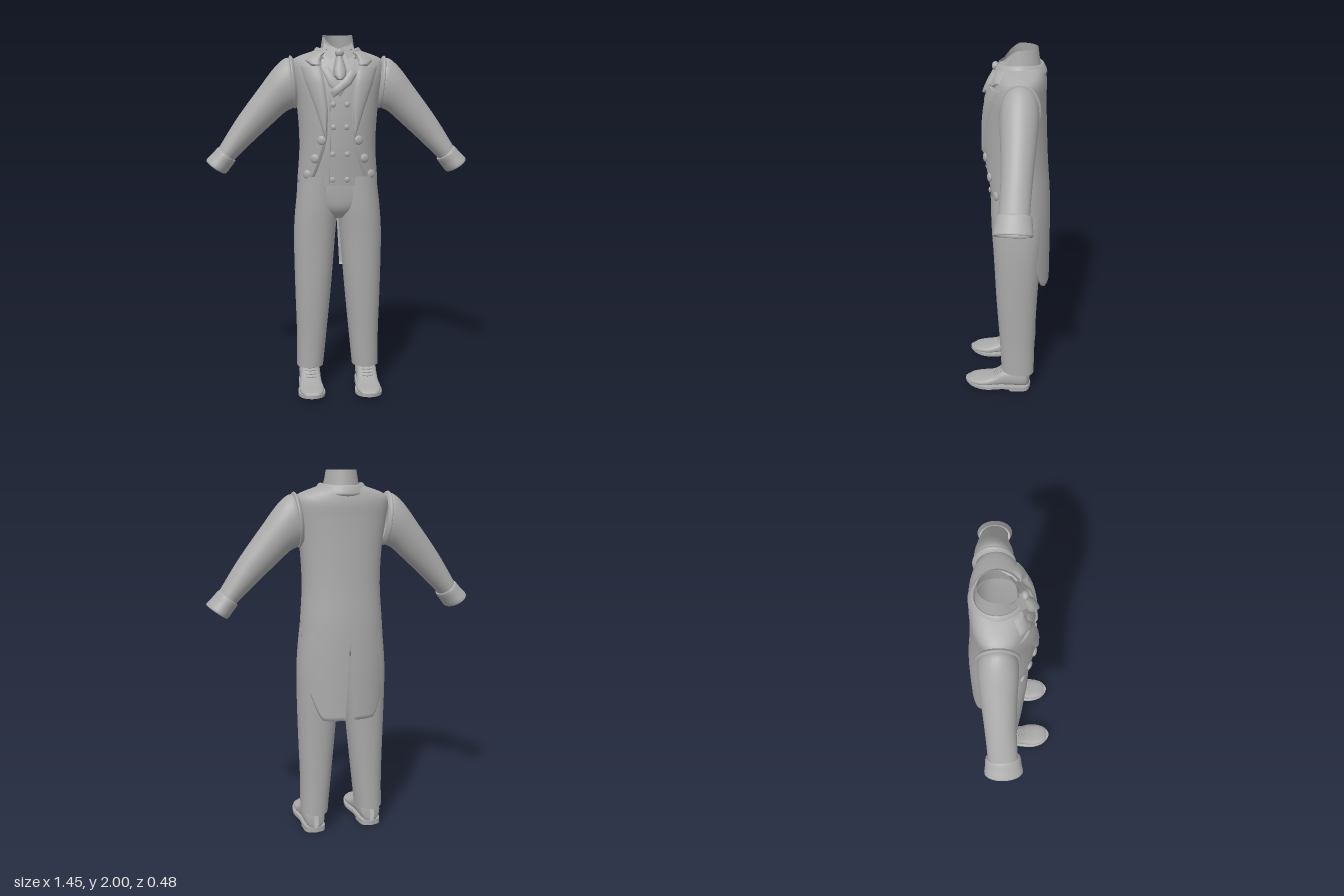
import * as THREE from 'three';

const cloth = new THREE.MeshStandardMaterial({ color: 0xaaaaaa, side: THREE.DoubleSide });
cloth.name = 'grey cloth';

const lerp = THREE.MathUtils.lerp;

// Smooth interpolation in a table of rows [t, value, value...]
function sample(table, t) {
  const last = table.length - 1;
  let i = 0;
  while (i < last - 1 && t > table[i + 1][0]) i++;
  const slope = (k, c) => {
    const a = table[Math.max(k - 1, 0)], b = table[Math.min(k + 1, last)];
    return (b[c] - a[c]) / (b[0] - a[0]);
  };
  const p = table[i], q = table[i + 1], h = q[0] - p[0];
  const s = Math.min(Math.max((t - p[0]) / h, 0), 1), s2 = s * s, s3 = s2 * s;
  return p.slice(1).map((v, k) => v * (2 * s3 - 3 * s2 + 1) + q[k + 1] * (3 * s2 - 2 * s3)
    + h * (slope(i, k + 1) * (s3 - 2 * s2 + s) + slope(i + 1, k + 1) * (s3 - s2)));
}

// Smooth sheet from a rule fn(u, v) -> [x, y, z]; closed joins the u ends
function sheet(name, nu, nv, fn, closed = false) {
  const pos = [], idx = [], cols = closed ? nu : nu + 1;
  for (let j = 0; j <= nv; j++) for (let i = 0; i < cols; i++) pos.push(...fn(i / nu, j / nv));
  for (let j = 0; j < nv; j++) for (let i = 0; i < nu; i++) {
    const a = j * cols + i, b = j * cols + (i + 1) % cols;
    idx.push(a, a + cols, b, b, a + cols, b + cols);
  }
  const g = new THREE.BufferGeometry();
  g.setAttribute('position', new THREE.Float32BufferAttribute(pos, 3));
  g.setIndex(idx);
  g.computeVertexNormals();
  return part(name, g);
}

function part(name, geometry) {
  const m = new THREE.Mesh(geometry, cloth);
  m.name = name;
  return m;
}

// Torso: y, half width, front z, back z
const TORSO = [
  [0.68, 0.235, 0.09, -0.237], [1.0, 0.237, 0.09, -0.235], [1.2, 0.225, 0.105, -0.23],
  [1.4, 0.212, 0.125, -0.215], [1.6, 0.222, 0.13, -0.205], [1.75, 0.245, 0.115, -0.2],
  [1.83, 0.255, 0.085, -0.2], [1.87, 0.243, 0.062, -0.192], [1.895, 0.19, 0.05, -0.185], [1.92, 0.11, 0.038, -0.172],
];
const N = 2.2, ZC = -0.07;
const pw = c => Math.sign(c) * Math.abs(c) ** (2 / N);
function torsoPoint(y, a, off = 0) {
  const [hx, zf, zb] = sample(TORSO, y);
  const s = Math.sin(a), d = (s > 0 ? zf - ZC : ZC - zb) + off;
  return [(hx + off) * pw(Math.cos(a)), y, ZC + d * pw(s)];
}
function frontZ(x, y, off) {
  const [hx, zf] = sample(TORSO, y);
  return ZC + (zf - ZC) * Math.max(1 - Math.abs(x / hx) ** N, 0) ** (1 / N) + off;
}

// Raised patch lying on the chest; rows are [xa, ya, xb, yb]
function patch(name, rows, base, height) {
  const table = rows.map((r, i) => [i, ...r]);
  return sheet(name, 10, (rows.length - 1) * 5, (u, v) => {
    const t = v * (rows.length - 1), i = Math.min(Math.floor(t), rows.length - 2), f = t - i;
    const r = table[i].slice(1).map((p, k) => lerp(p, table[i + 1][k + 1], f));
    const x = lerp(r[0], r[2], u), y = lerp(r[1], r[3], u);
    const lift = v === 0 || v === 1 ? 0 : Math.max(Math.sin(Math.PI * u), 0) ** 0.35;
    return [x, y, frontZ(x, y, base + height * lift)];
  });
}

// Coat opening half width by height, and tail hem height by angle behind the side
const OPENING = [[1.19, 0.165], [1.3, 0.118], [1.45, 0.074], [1.6, 0.068], [1.75, 0.085], [1.85, 0.1], [1.92, 0.07]];
const HEM = [[0, 1.2], [0.1, 1.15], [0.3, 0.99], [0.5, 0.87], [0.78, 0.75], [0.97, 0.69], [1.1, 0.68], [1.58, 0.68]];

function coatHalf() {
  return sheet('coatHalf', 48, 60, (u, v) => {
    const f = u * 2;
    const bottom = f <= 1 ? 1.2 : sample(HEM, (f - 1) * Math.PI / 2)[0];
    const y = lerp(bottom, 1.92, Math.max(v * 61 - 1, 0) / 60);
    let a;
    if (f <= 1) {
      const edge = Math.acos((sample(OPENING, y)[0] / sample(TORSO, y)[0]) ** (N / 2));
      a = lerp(edge, 0, f);
    } else {
      const vent = Math.max(1.1 - y, 0) * 0.2;
      a = -(f - 1) * (Math.PI / 2 - vent);
    }
    return torsoPoint(y, a, u === 0 || v === 0 ? -0.016 : 0);
  });
}

// Tube through flattened rings; rows are [t, upper x, upper y, lower x, lower y, front z, back z]
function sleeveTube(name, rows, steps) {
  const end = rows[rows.length - 1][0];
  return sheet(name, 32, steps, (u, v) => {
    const [ux, uy, lx, ly, zf, zb] = sample(rows, v * end), a = u * 2 * Math.PI;
    const c = Math.cos(a) / 2;
    return [(ux + lx) / 2 + (ux - lx) * c, (uy + ly) / 2 + (uy - ly) * c, (zf + zb) / 2 + (zf - zb) / 2 * Math.sin(a)];
  }, true);
}

function button(name, x, y, r, off) {
  const g = new THREE.SphereGeometry(r, 16, 10);
  g.scale(1, 1, 0.45);
  const m = part(name, g);
  m.position.set(x, y, frontZ(x, y, off));
  m.rotation.y = x * 3;
  return m;
}

function shoe() {
  const g = new THREE.Group();
  g.name = 'shoe';
  const lift = z => Math.max(z - 0.08, 0) ** 2 * 0.7;
  // upper: z, half width, top y
  const rows = [[-0.14, 0.012, 0.11], [-0.132, 0.04, 0.13], [-0.11, 0.056, 0.14], [-0.03, 0.06, 0.142], [0.02, 0.058, 0.125],
    [0.07, 0.061, 0.09], [0.13, 0.068, 0.07], [0.18, 0.06, 0.062], [0.215, 0.04, 0.052], [0.232, 0.008, 0.035]];
  g.add(sheet('shoeUpper', 28, 44, (u, v) => {
    const z = lerp(-0.14, 0.232, v), [w, top] = sample(rows, z), a = u * 2 * Math.PI;
    const low = 0.022 + lift(z), q = c => Math.sign(c) * Math.abs(c) ** 0.8;
    return [w * q(Math.cos(a)), (top + low) / 2 + (top - low) / 2 * q(Math.sin(a)), z];
  }, true));
  const slab = (name, half, top, depth) => {
    const pts = [...half, ...half.slice(1, -1).reverse().map(([x, z]) => [-x, z])].map(p => new THREE.Vector2(...p));
    const outline = new THREE.SplineCurve([...pts, pts[0]]).getPoints(56).slice(0, -1);
    const geo = new THREE.ExtrudeGeometry(new THREE.Shape(outline), { depth, bevelEnabled: false });
    geo.rotateX(Math.PI / 2).translate(0, top, 0);
    const p = geo.attributes.position;
    for (let i = 0; i < p.count; i++) p.setY(i, p.getY(i) + lift(p.getZ(i)));
    geo.computeVertexNormals();
    g.add(part(name, geo));
  };
  slab('sole', [[0, -0.145], [0.05, -0.125], [0.062, -0.06], [0.062, 0.02], [0.076, 0.12], [0.056, 0.2], [0, 0.24]], 0.03, 0.018);
  slab('heel', [[0, -0.143], [0.05, -0.124], [0.062, -0.06], [0.055, -0.022], [0, -0.018]], 0.03, 0.03);
  // laces over a raised tongue
  for (let i = 0; i < 4; i++) for (const s of [-1, 1]) {
    const lace = part('lace', new THREE.CapsuleGeometry(0.005, 0.03, 3, 8));
    const z = 0.015 + i * 0.018;
    lace.position.set(s * 0.012, sample(rows, z)[1] + 0.001, z);
    lace.rotation.set(0, s * 0.25, Math.PI / 2);
    g.add(lace);
  }
  g.position.x = 0.163;
  g.rotation.y = -0.02;
  return g;
}

// Everything made once for the +x side and mirrored
function half() {
  const g = new THREE.Group();
  g.add(coatHalf());

  // sleeve, armhole rim and turned cuff
  g.add(sleeveTube('sleeve', [
    [0, 0.245, 1.87, 0.225, 1.62, 0.015, -0.165], [0.5, 0.285, 1.875, 0.245, 1.605, 0.022, -0.17],
    [1, 0.34, 1.83, 0.285, 1.585, 0.022, -0.17], [2, 0.43, 1.715, 0.365, 1.515, 0.012, -0.162],
    [3, 0.55, 1.555, 0.47, 1.42, 0.004, -0.15], [4, 0.65, 1.4, 0.572, 1.322, 0.006, -0.142], [4.4, 0.68, 1.35, 0.6, 1.29, 0.005, -0.14]], 36));
  g.add(sleeveTube('armholeRim', [
    [0, 0.24, 1.87, 0.215, 1.625, 0.015, -0.165], [1, 0.252, 1.887, 0.228, 1.605, 0.03, -0.178],
    [2, 0.264, 1.887, 0.238, 1.603, 0.03, -0.178], [3, 0.268, 1.865, 0.238, 1.62, 0.01, -0.16]], 9));
  g.add(sleeveTube('cuff', [
    [0, 0.64, 1.38, 0.58, 1.325, 0.0, -0.135], [1, 0.658, 1.392, 0.568, 1.314, 0.018, -0.152],
    [2, 0.69, 1.36, 0.593, 1.28, 0.024, -0.157], [3, 0.726, 1.323, 0.62, 1.247, 0.03, -0.162],
    [3.5, 0.716, 1.318, 0.628, 1.255, 0.018, -0.15], [4.5, 0.67, 1.36, 0.6, 1.305, 0.005, -0.138]], 27));

  // peaked lapel and collar leaf
  g.add(patch('lapel', [[0.074, 1.44, 0.077, 1.44], [0.066, 1.6, 0.13, 1.6], [0.082, 1.74, 0.183, 1.74], [0.09, 1.8, 0.213, 1.835],
    [0.1, 1.845, 0.15, 1.825]], -0.004, 0.018));
  g.add(patch('collarLeaf', [[0.1, 1.83, 0.15, 1.832], [0.1, 1.855, 0.185, 1.862], [0.09, 1.885, 0.15, 1.893], [0.07, 1.905, 0.12, 1.908]], -0.002, 0.02));

  // buttons
  for (const [x, y] of [[0.1, 1.44], [0.135, 1.34], [0.175, 1.25]]) g.add(button('coatButton', x, y, 0.025, 0.003));
  for (const [x, y] of [[0.038, 1.63], [0.036, 1.51], [0.04, 1.365], [0.04, 1.225]]) g.add(button('vestButton', x, y, 0.015, -0.011));

  // folded shirt collar wing
  g.add(sheet('collarWing', 6, 6, (u, v) => [
    lerp(lerp(0.012, 0.075, u), lerp(0.045, 0.09, u), v),
    lerp(lerp(1.925, 1.955, u), lerp(1.865, 1.9, u), v),
    lerp(lerp(0.04, -0.015, u), lerp(0.075, 0.02, u), v)]));

  // trouser leg: y, inner x, outer x, front z, back z
  const leg = [[0.12, 0.085, 0.236, 0.026, -0.163], [0.3, 0.067, 0.235, 0.035, -0.165], [0.6, 0.038, 0.243, 0.055, -0.175],
    [0.9, 0.014, 0.247, 0.07, -0.192], [1.05, 0.002, 0.238, 0.08, -0.2], [1.24, 0, 0.215, 0.085, -0.2]];
  g.add(sheet('trouserLeg', 36, 30, (u, v) => {
    const y = lerp(0.12, 1.24, v), [xi, xo, zf, zb] = sample(leg, y), a = u * 2 * Math.PI;
    const drop = y < 0.13 ? -0.01 * Math.sin(a) : 0;
    return [(xi + xo) / 2 + (xo - xi) / 2 * pw(Math.cos(a)), y - drop, (zf + zb) / 2 + (zf - zb) / 2 * pw(Math.sin(a))];
  }, true));
  g.add(shoe());
  return g;
}

export function createModel() {
  const model = new THREE.Group();
  model.name = 'tailcoatSuit';
  const left = half(), right = half();
  left.name = 'leftHalf';
  right.name = 'rightHalf';
  right.scale.x = -1;
  model.add(left, right);

  // waistcoat and shirt body under the coat
  model.add(sheet('waistcoat', 56, 30, (u, v) => torsoPoint(lerp(1.19, 1.915, v), u * 2 * Math.PI, -0.014), true));
  model.add(patch('underLapel', [[-0.1, 1.82, -0.06, 1.83], [-0.06, 1.73, -0.015, 1.76], [0, 1.67, 0.03, 1.71]], -0.014, 0.009));
  model.add(patch('overLapel', [[0.1, 1.8, 0.06, 1.83], [0.06, 1.735, 0.015, 1.765], [-0.035, 1.665, -0.06, 1.7]], -0.013, 0.016));
  model.add(patch('vestEdge', [[-0.055, 1.68, -0.049, 1.68], [-0.058, 1.45, -0.052, 1.45], [-0.06, 1.2, -0.054, 1.2]], -0.014, 0.004));

  // trouser seat joining the legs
  const seat = [[1.0, 0.04, 0.02, -0.14], [1.05, 0.15, 0.065, -0.18], [1.12, 0.218, 0.08, -0.198], [1.25, 0.21, 0.085, -0.2]];
  model.add(sheet('trouserSeat', 40, 14, (u, v) => {
    const y = lerp(1.0, 1.25, v), [hx, zf, zb] = sample(seat, y), a = u * 2 * Math.PI;
    return [hx * pw(Math.cos(a)), y, (zf + zb) / 2 + (zf - zb) / 2 * pw(Math.sin(a))];
  }, true));

  // standing shirt collar, open at the throat
  model.add(sheet('shirtCollar', 48, 8, (u, v) => {
    const a = Math.PI / 2 + lerp(0.12, 2 * Math.PI - 0.12, u), s = Math.sin(a);
    const top = 2.0 - 0.075 * Math.max(s, 0) ** 1.5, y = lerp(1.88, top, v);
    return [lerp(0.1, 0.08, v) * Math.cos(a), y, -0.063 + lerp(0.108, 0.092, v) * s];
  }));

  // coat collar rolled around the back of the neck
  const roll = [[0, 0.098, 1.9, 0.1], [1, 0.108, 1.932, 0.11], [2, 0.122, 1.928, 0.122], [3, 0.145, 1.89, 0.138], [3.4, 0.14, 1.878, 0.128]];
  model.add(sheet('coatCollar', 48, 20, (u, v) => {
    const a = lerp(-Math.PI - 0.95, 0.95, u), s = Math.sin(a), [rx, y, rz] = sample(roll, v * 3.4);
    return [rx * Math.cos(a), y - 0.012 * Math.max(-s, 0) - 0.015 * Math.max(s, 0), -0.063 + rz * s];
  }));

  // necktie
  const knot = part('tieKnot', new THREE.SphereGeometry(0.024, 18, 12));
  knot.scale.set(1, 0.95, 0.8);
  knot.position.set(0, 1.9, 0.062);
  model.add(knot);
  model.add(patch('tieBlade', [[-0.014, 1.895, 0.014, 1.895], [-0.024, 1.86, 0.024, 1.86], [-0.037, 1.81, 0.037, 1.81],
    [-0.034, 1.78, 0.034, 1.78], [-0.012, 1.757, 0.012, 1.757]], -0.014, 0.034));
  return model;
}
